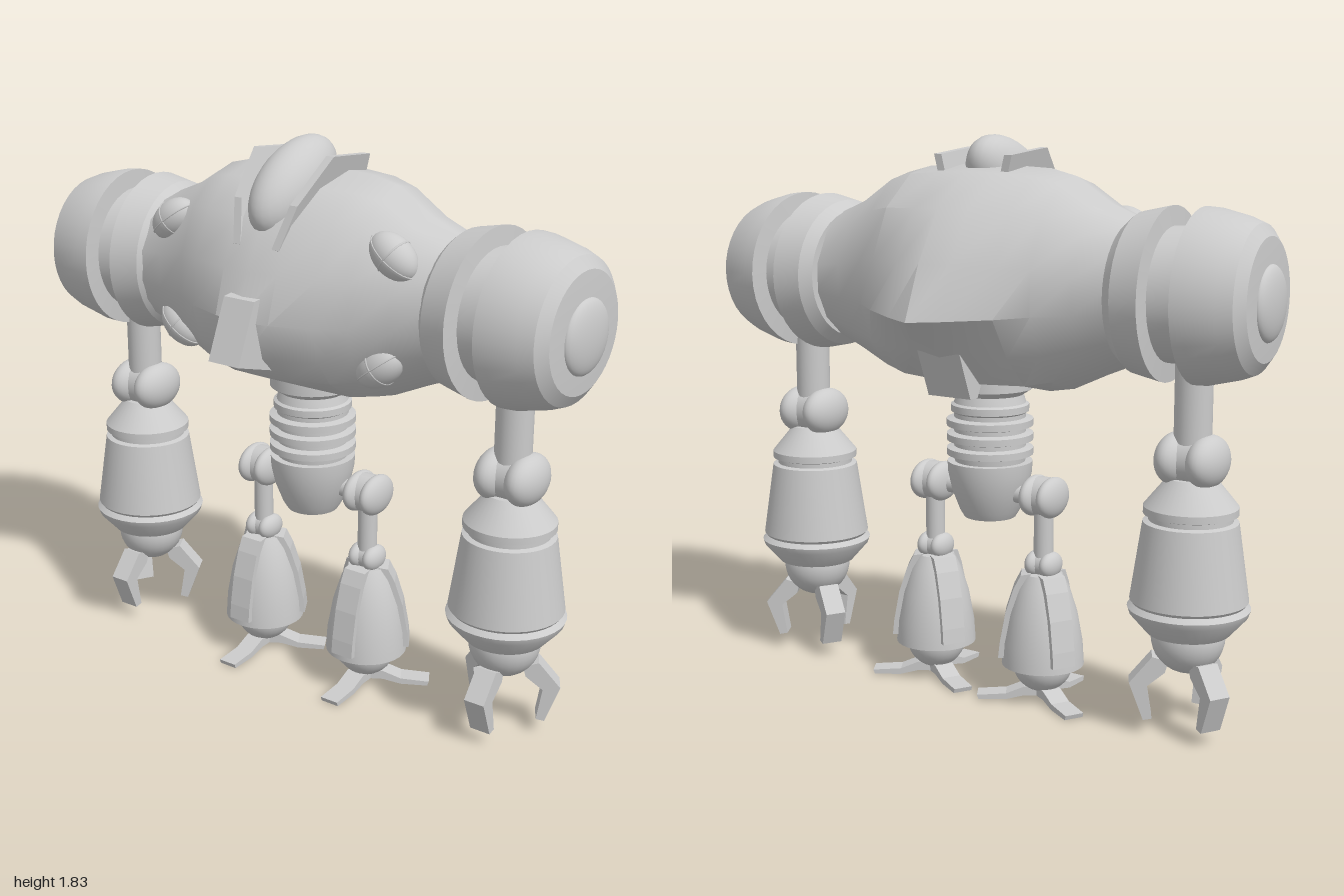
import * as THREE from 'three';
import { toCreasedNormals } from 'three/addons/utils/BufferGeometryUtils.js';

const material = new THREE.MeshStandardMaterial({ color: 0xcccccc, side: THREE.DoubleSide });
const THIRD = Math.PI * 2 / 3;

function add(parent, name, geometry, x = 0, y = 0, z = 0) {
  const mesh = new THREE.Mesh(geometry, material);
  mesh.name = name;
  mesh.position.set(x, y, z);
  parent.add(mesh);
  return mesh;
}

function group(parent, name, x = 0, y = 0, z = 0) {
  const g = new THREE.Group();
  g.name = name;
  g.position.set(x, y, z);
  parent.add(g);
  return g;
}

// Turned part from [radius, height] pairs, listed bottom to top
function turned(points, sides = 32) {
  const g = new THREE.LatheGeometry(points.map(p => new THREE.Vector2(...p)), sides);
  return toCreasedNormals(g, 0.5);
}

// Flat outline given a thickness, centred, its first axis turned to angle a from +z
function plate(points, width, a = 0) {
  const shape = new THREE.Shape(points.map(p => new THREE.Vector2(...p)));
  const g = new THREE.ExtrudeGeometry(shape, { depth: width, bevelEnabled: false });
  return g.translate(0, 0, -width / 2).rotateY(a - Math.PI / 2);
}

function ball(rx, ry, rz) {
  return new THREE.SphereGeometry(1, 28, 18).scale(rx, ry, rz);
}

// Torso: pointed middle section blending into round shoulder ends
function torsoGeometry() {
  const middle = [[0, 1.74], [0.15, 1.7], [0.26, 1.6], [0.33, 1.46], [0.39, 1.32], [0.36, 1.2],
    [0.28, 1.12], [0.14, 1.06], [0, 1.04], [-0.19, 1.06], [-0.3, 1.17], [-0.46, 1.28],
    [-0.39, 1.45], [-0.29, 1.61], [-0.14, 1.72]];
  // x, share of the middle section, centre height, depth radius, height radius
  const half = [[0, 1, 1.375, 0.31, 0.35], [0.1, 0.7, 1.375, 0.31, 0.35], [0.23, 0.25, 1.375, 0.3, 0.35],
    [0.32, 0.05, 1.375, 0.265, 0.33], [0.44, 0, 1.365, 0.235, 0.265], [0.56, 0, 1.365, 0.21, 0.215]];
  const rows = [...half.slice(1).reverse().map(([x, ...r]) => [-x, ...r]), ...half];
  const n = middle.length, pos = [], idx = [];
  rows.forEach(([x, mix, cy, rz, ry], i) => {
    middle.forEach(([z, y], k) => {
      const a = Math.atan2(z / 0.38, (y - 1.38) / 0.35);
      pos.push(x, THREE.MathUtils.lerp(cy + ry * Math.cos(a), y, mix), THREE.MathUtils.lerp(rz * Math.sin(a), z, mix));
      if (i === rows.length - 1) return;
      const p = i * n + k, q = i * n + (k + 1) % n;
      idx.push(p, q, p + n, q, q + n, p + n);
    });
  });
  const g = new THREE.BufferGeometry();
  g.setAttribute('position', new THREE.Float32BufferAttribute(pos, 3));
  g.setIndex(idx);
  return toCreasedNormals(g, 0.55);
}

// Joint of two rounded cheeks around a flat core
function joint(parent, name, y, r, w) {
  const g = group(parent, name, 0, y, 0);
  for (const s of [-1, 1]) add(g, 'jointCheek', ball(w * 0.55, r * 0.78, r), s * w * 0.5, 0, 0);
  add(g, 'jointCore', new THREE.CylinderGeometry(r * 0.75, r * 0.75, w, 20).rotateZ(Math.PI / 2));
}

function buildTorso(root) {
  const torso = group(root, 'torso');
  add(torso, 'torsoShell', torsoGeometry());
  add(torso, 'chestBlock', plate([[0.28, 1.4], [0.38, 1.39], [0.46, 1.205], [0.28, 1.15]], 0.115), 0.005);
  add(torso, 'rearBracket', plate([[-0.1, 1.15], [-0.29, 1.17], [-0.23, 1.02], [-0.19, 1.02], [-0.17, 1.06], [-0.1, 1.06]], 0.16));

  // Head dome with a leaning guard fin on each side
  add(torso, 'headDome', ball(0.1, 0.12, 0.205), 0, 1.685, 0.1).rotation.x = Math.PI / 6;
  for (const s of [-1, 1]) {
    const fin = plate([[-0.1, 1.77], [0.1, 1.79], [0.24, 1.66], [0.29, 1.53], [0.26, 1.5],
      [0.19, 1.6], [0.07, 1.68], [-0.1, 1.7]], 0.028);
    const p = fin.attributes.position;
    for (let i = 0; i < p.count; i++) p.setX(i, p.getX(i) + s * (0.065 + (p.getY(i) - 1.5) * 0.25));
    fin.computeVertexNormals();
    add(torso, 'headFin', fin);
    // Oval studs with crossed ribs
    for (const v of [-1, 1]) {
      const stud = group(torso, 'chestStud', s * (v > 0 ? 0.42 : 0.385), v > 0 ? 1.54 : 1.2, v > 0 ? 0.175 : 0.185);
      stud.rotation.z = -s * v * 0.65;
      stud.scale.set(0.088, 0.06, 0.06);
      add(stud, 'studDome', ball(1, 1, 1));
      add(stud, 'studRib', new THREE.TorusGeometry(1, 0.04, 6, 28).rotateX(Math.PI / 2));
      add(stud, 'studRib', new THREE.TorusGeometry(1, 0.04, 6, 28).rotateY(Math.PI / 2));
    }
  }
}

function buildWaist(root) {
  const waist = group(root, 'waist');
  const bellows = [[0.115, 0.77]];
  for (let i = 0; i < 4; i++) {
    const y = 0.795 + i * 0.048, r = i === 3 ? 0.128 : 0.142;
    bellows.push([0.118, y], [r, y + 0.006], [r, y + 0.028], [0.118, y + 0.034]);
  }
  bellows.push([0.11, 1.0], [0.14, 1.02], [0.14, 1.06]);
  add(waist, 'bellows', turned(bellows));
  add(waist, 'hipBucket', turned([[0, 0.59], [0.085, 0.59], [0.1, 0.615], [0.125, 0.68], [0.138, 0.74], [0.14, 0.778], [0, 0.778]]));
  add(waist, 'hipAxle', new THREE.CylinderGeometry(0.03, 0.03, 0.42, 16).rotateZ(Math.PI / 2), 0, 0.68, -0.01);
}

function buildShoulder(root, s) {
  const shoulder = group(root, 'shoulder', s * 0.67, 1.365, -0.01);
  shoulder.rotation.y = -s * 0.075;
  const profile = [[0.19, -0.14], [0.215, -0.14], [0.245, -0.105], [0.265, -0.01], [0.205, -0.005], [0.205, 0.085],
    [0.265, 0.09], [0.262, 0.13], [0.24, 0.22], [0.222, 0.265], [0.185, 0.292], [0.115, 0.297], [0, 0.297]];
  add(shoulder, 'shoulderDrum', turned(profile, 40).rotateZ(-s * Math.PI / 2));
  add(shoulder, 'shoulderCap', ball(0.035, 0.115, 0.115), s * 0.295, -0.01, 0);
}

function buildArm(root, s) {
  const arm = group(root, 'arm', s * 0.74, 0, -0.01);
  add(arm, 'upperArm', new THREE.CylinderGeometry(0.058, 0.058, 0.32, 24), 0, 1.04, 0);
  joint(arm, 'elbow', 0.87, 0.105, 0.105);
  add(arm, 'forearm', turned([[0.1, 0.33], [0.13, 0.33], [0.183, 0.39], [0.19, 0.41], [0.175, 0.425], [0.183, 0.435],
    [0.147, 0.68], [0.13, 0.685], [0.13, 0.7], [0.146, 0.705], [0.146, 0.728], [0.075, 0.815], [0, 0.815]], 36));
  add(arm, 'wristBall', ball(0.115, 0.115, 0.115), 0, 0.315, 0);
  const claw = [[0.06, 0.24], [0.11, 0.255], [0.18, 0.17], [0.135, 0.05], [0.108, 0.055], [0.125, 0.16], [0.07, 0.205]];
  for (let i = 0; i < 3; i++) add(arm, 'claw', plate(claw, 0.07, i * THIRD));
}

function buildLeg(root, s) {
  const leg = group(root, 'leg', s * 0.215, 0, -0.01);
  joint(leg, 'hip', 0.685, 0.085, 0.065);
  add(leg, 'thigh', new THREE.CylinderGeometry(0.032, 0.032, 0.2, 20), 0, 0.56, 0);
  joint(leg, 'knee', 0.46, 0.055, 0.055);
  const calf = [[0.135, 0.125], [0.13, 0.2], [0.112, 0.3], [0.085, 0.385], [0.062, 0.43]];
  add(leg, 'calf', turned([[0.09, 0.125], ...calf, [0, 0.43]]));
  add(leg, 'ankleBall', ball(0.1, 0.1, 0.1), 0, 0.13, 0);
  // Raised calf strips and splayed toes
  const strip = [[0.05, 0.15], ...calf.map(([r, y]) => [r + 0.01, Math.max(y, 0.15)]), [0.04, 0.435]];
  const toe = [[0, 0.05], [0.06, 0.05], [0.12, 0.025], [0.215, 0.018], [0.21, 0.003], [0.12, 0.005], [0.06, 0.02], [0, 0.02]];
  for (let i = 0; i < 3; i++) {
    add(leg, 'calfStrip', plate(strip, 0.08, i * THIRD));
    add(leg, 'toe', plate(toe, 0.065, i * THIRD));
  }
}

export function createModel() {
  const root = new THREE.Group();
  root.name = 'robot';
  buildTorso(root);
  buildWaist(root);
  for (const s of [-1, 1]) {
    buildShoulder(root, s);
    buildArm(root, s);
    buildLeg(root, s);
  }
  return root;
}
